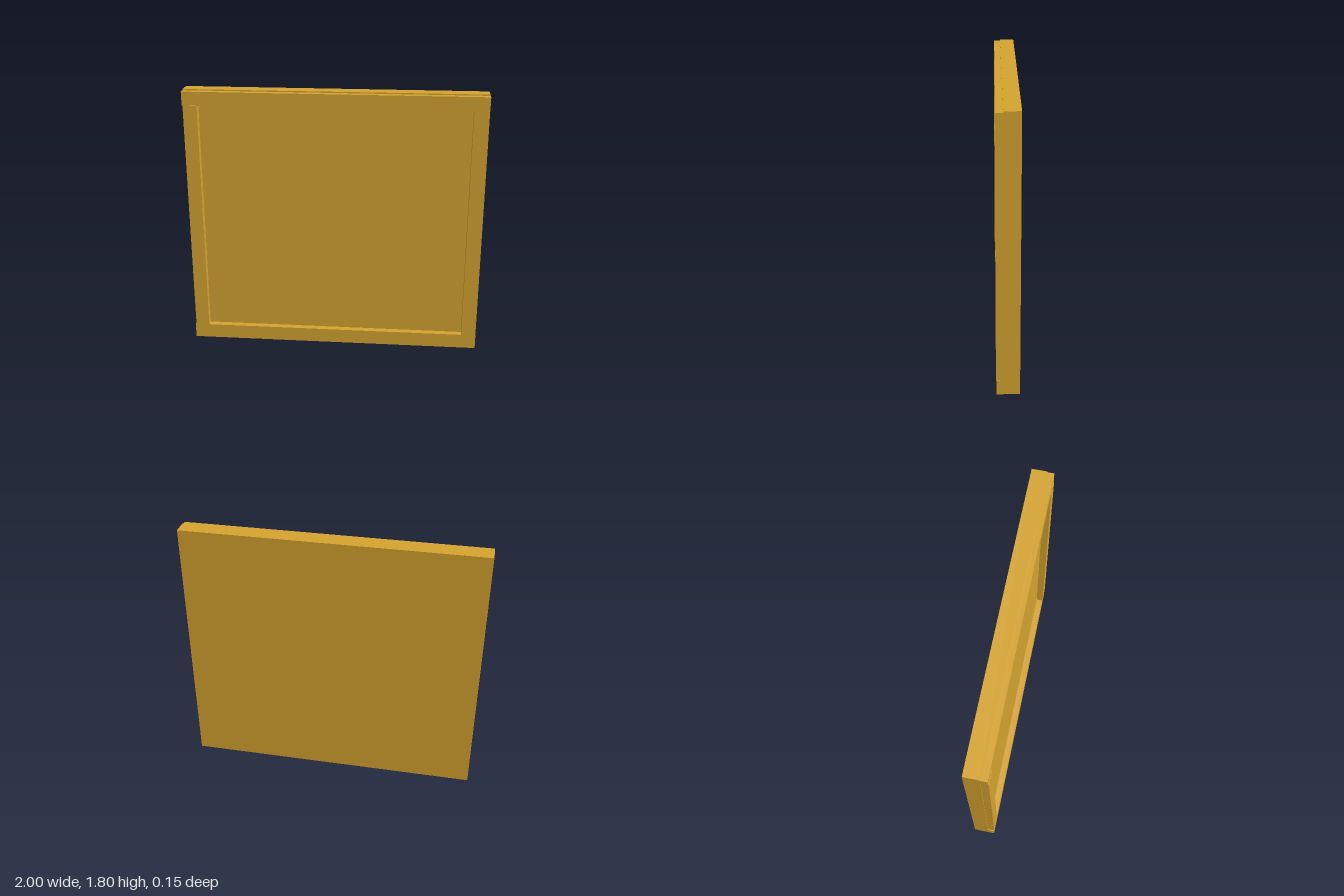
import * as THREE from 'three';

export function createModel() {
  const group = new THREE.Group();
  const material = new THREE.MeshStandardMaterial({ color: 0xd4a330 });

  // Box given by its extents on each axis
  const addBoard = (name, [x0, x1], [y0, y1], [z0, z1]) => {
    const mesh = new THREE.Mesh(new THREE.BoxGeometry(x1 - x0, y1 - y0, z1 - z0), material);
    mesh.position.set((x0 + x1) / 2, (y0 + y1) / 2, (z0 + z1) / 2);
    mesh.name = name;
    group.add(mesh);
  };

  const back = 0.027; // plane where the frame meets the panel

  // Thick backing panel
  addBoard('backPanel', [-1, 1], [0.004, 1.8], [-0.074, back]);

  // Rails across the full width, the top one a touch below the panel's edge
  addBoard('topRail', [-1, 1], [1.7, 1.792], [back, 0.071]);
  addBoard('bottomRail', [-1, 1], [0, 0.1], [back, 0.071]);

  // Stiles fitted between the rails, slightly proud of them
  addBoard('rightStile', [-0.994, -0.9], [0.1, 1.7], [back, 0.074]);
  addBoard('leftStile', [0.9, 0.999], [0.1, 1.7], [back, 0.074]);

  return group;
}
